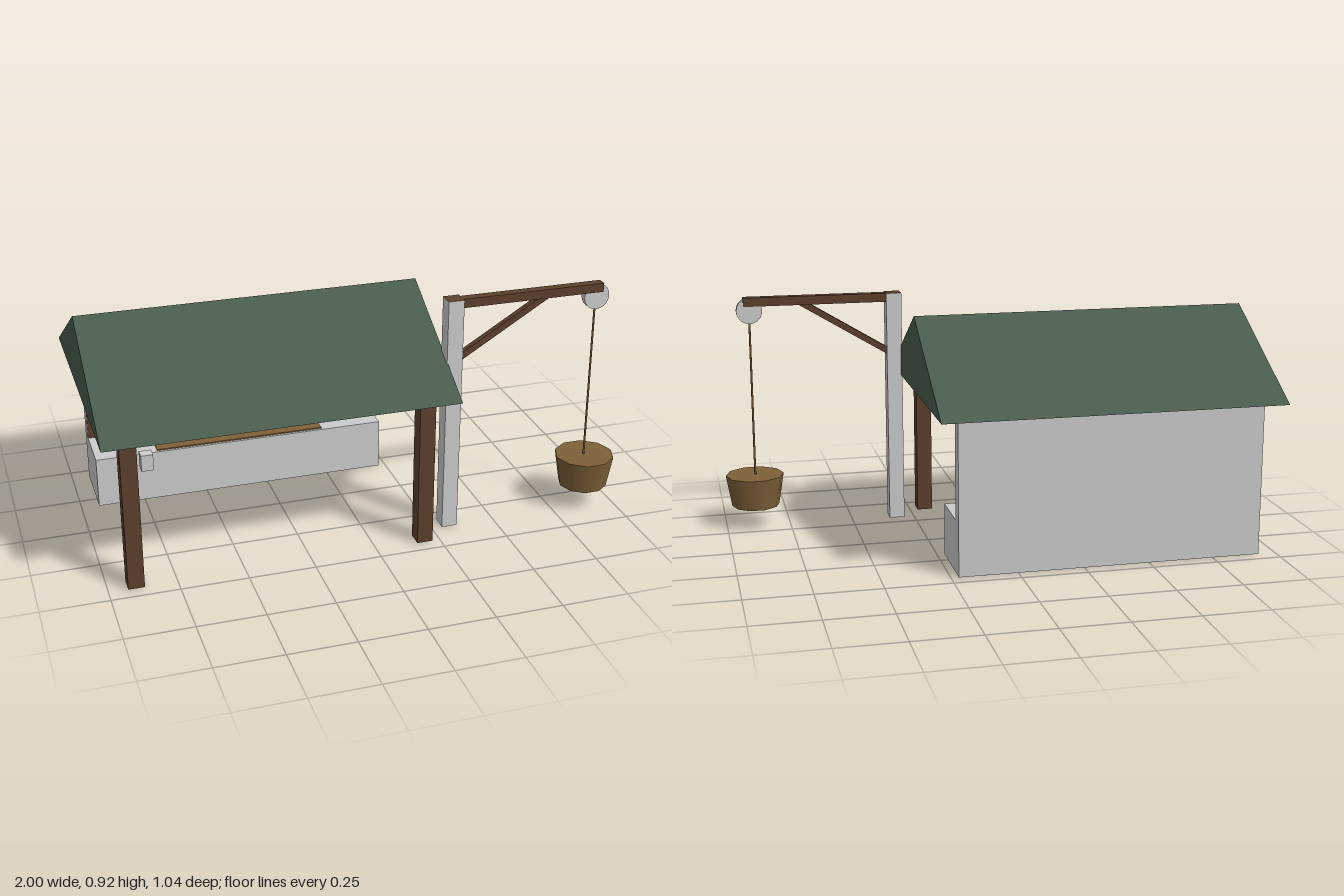
import * as THREE from 'three';

const mat = (name, color) => {
  const m = new THREE.MeshStandardMaterial({ color });
  m.name = name;
  return m;
};

export function createModel() {
  const root = new THREE.Group();
  root.name = 'marketStallWithCrane';
  const green = mat('roofGreen', 0x495c4d);
  const brown = mat('darkWood', 0x5c402d);
  const tan = mat('paleWood', 0x7d6038);
  const grey = mat('plasterGrey', 0xcccccc);

  const add = (name, geo, material, x = 0, y = 0, z = 0) => {
    const m = new THREE.Mesh(geo, material);
    m.name = name;
    m.position.set(x, y, z);
    root.add(m);
    return m;
  };
  // Box given by its limits on each axis
  const box = (name, material, [x0, x1], [y0, y1], [z0, z1]) =>
    add(name, new THREE.BoxGeometry(x1 - x0, y1 - y0, z1 - z0), material,
      (x0 + x1) / 2, (y0 + y1) / 2, (z0 + z1) / 2);

  // Gable roof, a closed prism along x
  const gable = new THREE.Shape([
    new THREE.Vector2(-0.52, 0.59), new THREE.Vector2(0.52, 0.59), new THREE.Vector2(0, 0.88),
  ]);
  const roofGeo = new THREE.ExtrudeGeometry(gable, { depth: 1.295, bevelEnabled: false });
  roofGeo.rotateY(Math.PI / 2);
  add('roof', roofGeo, green, -1, 0, 0);

  // Four corner posts, the back pair set into the wall
  for (const x of [-0.93, 0.16]) {
    box('frontPost', brown, [x, x + 0.06], [0, 0.59], [0.39, 0.45]);
    box('backPost', brown, [x, x + 0.06], [0.001, 0.59], [-0.447, -0.39]);
  }

  // Back wall, counter and floor sills
  box('backWall', grey, [-0.932, 0.222], [0, 0.59], [-0.45, -0.395]);
  box('counter', grey, [-0.932, 0.222], [0, 0.2], [-0.396, -0.19]);
  box('backSill', brown, [-0.93, 0.22], [-0.001, 0.004], [-0.44, -0.42]);
  box('crossSill', brown, [-0.63, -0.61], [-0.001, 0.004], [-0.4, -0.22]);
  box('counterBoard', tan, [-0.69, -0.02], [0.2, 0.205], [-0.39, -0.2]);

  // Round plates hung on the wall
  [-0.56, -0.435, -0.31, -0.185].forEach((x, i) => {
    const geo = new THREE.CylinderGeometry(0.037, 0.037, 0.008, 20);
    geo.rotateX(Math.PI / 2);
    add('wallPlate', geo, tan, x, i % 2 ? 0.337 : 0.295, -0.391);
  });

  // Lantern beside the front post
  box('lantern', grey, [-0.855, -0.812], [0.455, 0.515], [0.4, 0.44]);

  // Crane mast: pale sides with wooden ends
  box('craneMast', [grey, grey, brown, brown, grey, grey],
    [0.29, 0.35], [0, 0.92], [0.305, 0.365]);
  box('craneArm', brown, [0.35, 0.905], [0.885, 0.919], [0.317, 0.353]);

  // Diagonal brace under the arm
  const a = new THREE.Vector2(0.34, 0.685), b = new THREE.Vector2(0.68, 0.892);
  const brace = add('craneBrace', new THREE.BoxGeometry(a.distanceTo(b), 0.024, 0.024), brown,
    (a.x + b.x) / 2, (a.y + b.y) / 2, 0.335);
  brace.rotation.z = b.clone().sub(a).angle();

  // Pulley, rope and bucket
  const pulley = new THREE.CylinderGeometry(0.05, 0.05, 0.026, 20);
  pulley.rotateX(Math.PI / 2);
  add('pulley', pulley, grey, 0.882, 0.867, 0.335);
  add('rope', new THREE.CylinderGeometry(0.004, 0.004, 0.62, 8), tan, 0.882, 0.52, 0.335);
  add('bucket', new THREE.CylinderGeometry(0.114, 0.093, 0.125, 10, 1, false, Math.PI / 2),
    tan, 0.884, 0.148, 0.335);

  return root;
}
